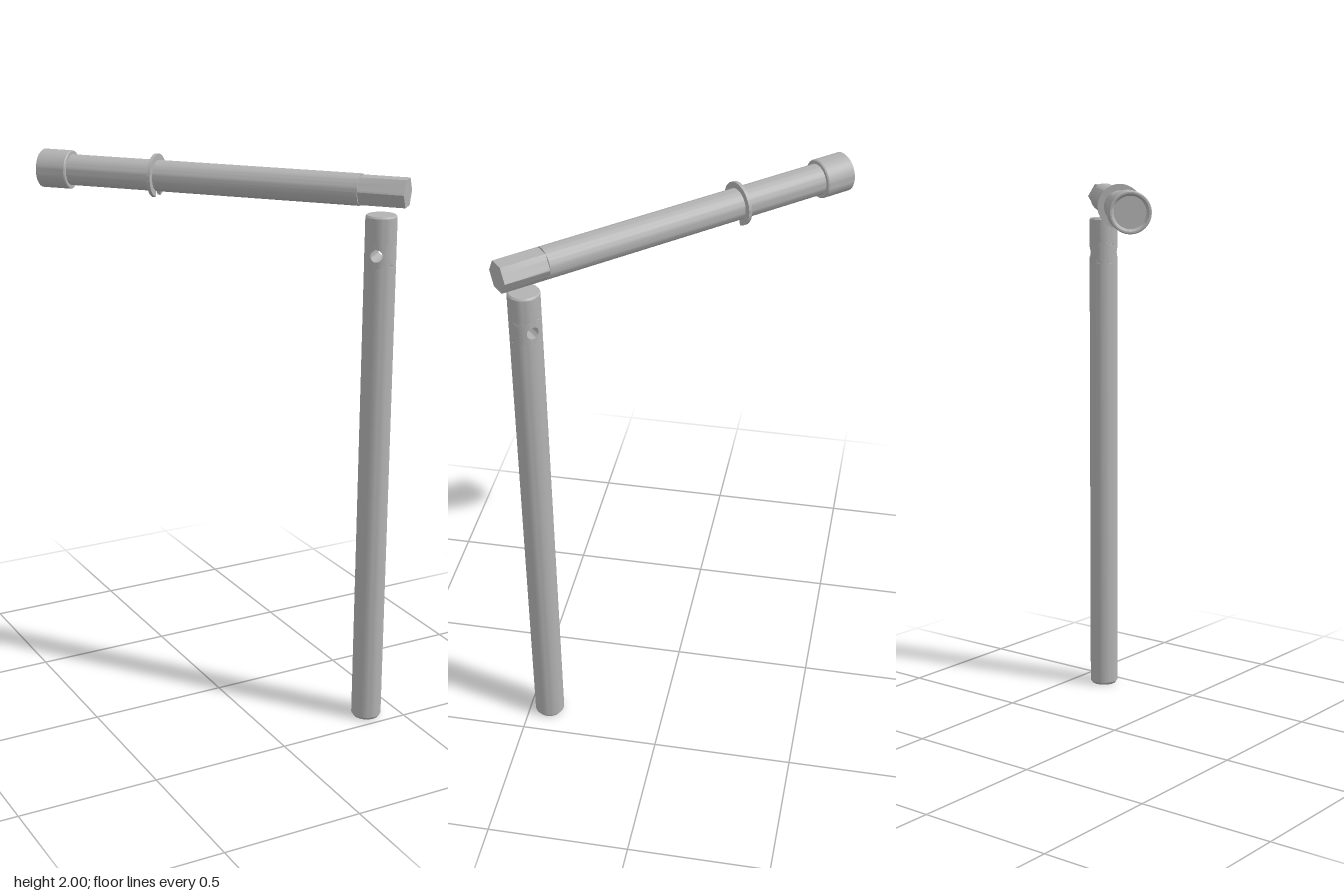
import * as THREE from 'three';
import { toCreasedNormals } from 'three/addons/utils/BufferGeometryUtils.js';

const steel = new THREE.MeshStandardMaterial({ color: 0xb2b2b2 });
steel.name = 'grey steel';

const R = 0.0535;      // radius of post and arm
const ARM_Y = 1.927;   // height of the arm axis
const HOLE_Y = 1.719, HOLE_R = 0.021, BAND = 0.04;
const TAU = Math.PI * 2;

function mesh(name, geometry, parent) {
  const m = new THREE.Mesh(geometry, steel);
  m.name = name;
  parent.add(m);
  return m;
}

// Skin a list of equally long point rows
function loft(rows) {
  const n = rows[0].length, index = [];
  for (let i = 0; i < rows.length - 1; i++) {
    for (let j = 0; j < n - 1; j++) {
      const a = i * n + j, b = a + n;
      index.push(a, b, b + 1, a, b + 1, a + 1);
    }
  }
  const g = new THREE.BufferGeometry();
  g.setAttribute('position', new THREE.Float32BufferAttribute(rows.flat(2), 3));
  g.setIndex(index);
  return toCreasedNormals(g, 0.5);
}

function lathe(profile, segments = 32) {
  const pts = profile.map(([r, y]) => new THREE.Vector2(r, y));
  return toCreasedNormals(new THREE.LatheGeometry(pts, segments), 0.5);
}

// Half of the post wall around the cross hole, including the bore (hole faces +z)
function drilledHalf() {
  const n = 64, rows = [];
  const ring = fn => Array.from({ length: n + 1 }, (_, j) => {
    const t = j / n * TAU;
    return fn(Math.cos(t), Math.sin(t));
  });
  rows.push(ring((c, s) => [HOLE_R * c, HOLE_R * s, 0]));
  for (let i = 0; i <= 8; i++) {
    const k = i / 8;
    rows.push(ring((c, s) => {
      const m = Math.max(Math.abs(c), Math.abs(s));
      const phi = THREE.MathUtils.lerp(Math.asin(HOLE_R * c / R), Math.PI / 2 * c / m, k);
      const y = THREE.MathUtils.lerp(HOLE_R * s, BAND * s / m, k);
      return [R * Math.sin(phi), y, R * Math.cos(phi)];
    }));
  }
  return loft(rows);
}

function createPost() {
  const post = new THREE.Group();
  post.name = 'post';
  // lower shaft with chamfer and centre-drilled foot
  mesh('postShaft', lathe([[0, 0.02], [0.012, 0.012], [0.016, 0], [R - 0.007, 0], [R, 0.01], [R, HOLE_Y - BAND]]), post);
  mesh('postTop', lathe([[R, HOLE_Y + BAND], [R, 1.843], [R - 0.005, 1.849], [0, 1.849]]), post);
  for (const side of [1, -1]) {
    const half = mesh('crossHole', drilledHalf(), post);
    half.position.y = HOLE_Y;
    half.rotation.y = side * Math.PI / 2;
  }
  return post;
}

function createArm() {
  const arm = new THREE.Group();
  arm.name = 'arm';
  // round bar whose front end is cut to a hexagon
  const section = (z, radius) => Array.from({ length: 49 }, (_, j) => {
    const t = j / 48 * TAU, r = radius(t);
    return [r * Math.cos(t), r * Math.sin(t), z];
  });
  const round = () => R, point = () => 0;
  const hex = t => R * Math.cos(Math.PI / 6) / Math.cos((t % (Math.PI / 3)) - Math.PI / 6);
  mesh('armBar', loft([
    section(0.661, point), section(0.661, hex), section(0.502, hex),
    section(0.502, round), section(-0.645, round), section(-0.645, point),
  ]), arm);

  // end collar, open at the back
  const collar = lathe([
    [R - 0.002, -0.645], [R - 0.002, -0.65], [0.059, -0.661], [0.064, -0.661], [0.067, -0.658],
    [0.067, -0.554], [0.064, -0.55], [R, -0.55],
  ], 48);
  mesh('endCollar', collar.rotateX(Math.PI / 2), arm);

  // retaining ring with its gap underneath
  const gap = 0.3, start = -Math.PI / 2 + gap, end = 1.5 * Math.PI - gap;
  const shape = new THREE.Shape();
  shape.absarc(0, 0, 0.0745, start, end, false);
  shape.absarc(0, 0, R - 0.002, end, start, true);
  shape.closePath();
  const clip = new THREE.ExtrudeGeometry(shape, { depth: 0.012, bevelEnabled: false, curveSegments: 40 });
  mesh('retainingRing', toCreasedNormals(clip, 0.5), arm).position.z = -0.237;
  return arm;
}

export function createModel() {
  const model = new THREE.Group();
  model.name = 'crankHandle';
  const post = createPost(), arm = createArm();
  post.position.z = 0.574;
  arm.position.y = ARM_Y;
  // the arm runs diagonally from front left to back right
  model.rotation.y = 0.732;
  model.add(post, arm);
  const root = new THREE.Group();
  root.name = 'model';
  root.add(model);
  return root;
}
